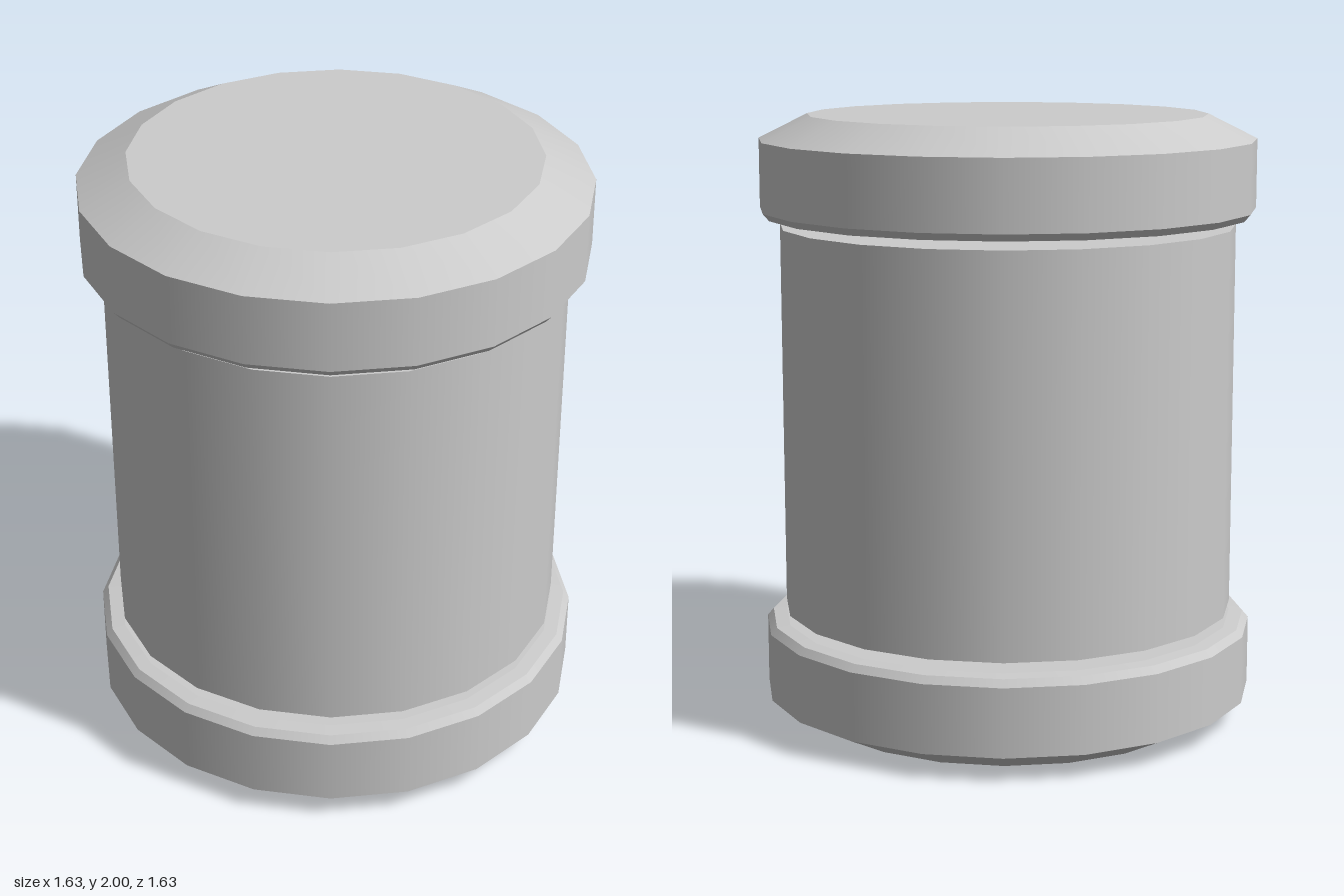
import * as THREE from 'three';
import { mergeGeometries } from 'three/addons/utils/BufferGeometryUtils.js';

const SIDES = 20;

// Turned solid: smooth around the axis, crisp at every profile corner.
// Profile points run from the bottom centre, outward and up to the top centre.
function turned(profile) {
  const bands = [];
  for (let i = 0; i < profile.length - 1; i++) {
    const pair = [profile[i], profile[i + 1]].map(([r, y]) => new THREE.Vector2(r, y));
    bands.push(new THREE.LatheGeometry(pair, SIDES));
  }
  return mergeGeometries(bands);
}

export function createModel() {
  const group = new THREE.Group();
  const material = new THREE.MeshStandardMaterial({ color: 0xcccccc });

  const add = (name, profile) => {
    const mesh = new THREE.Mesh(turned(profile), material);
    mesh.name = name;
    group.add(mesh);
  };

  // End cap: wide outer chamfer, straight wall, small bevel on the inner rim
  const cap = [
    [0, 0], [0.655, 0], [0.815, 0.08], [0.815, 0.305],
    [0.795, 0.328], [0.75, 0.333], [0, 0.333],
  ];
  add('bottomCap', cap);
  add('topCap', cap.map(([r, y]) => [r, 2 - y]).reverse());

  // Main drum, separated from both caps by a thin gap
  add('body', [[0, 0.365], [0.75, 0.365], [0.75, 1.64], [0, 1.64]]);

  return group;
}
